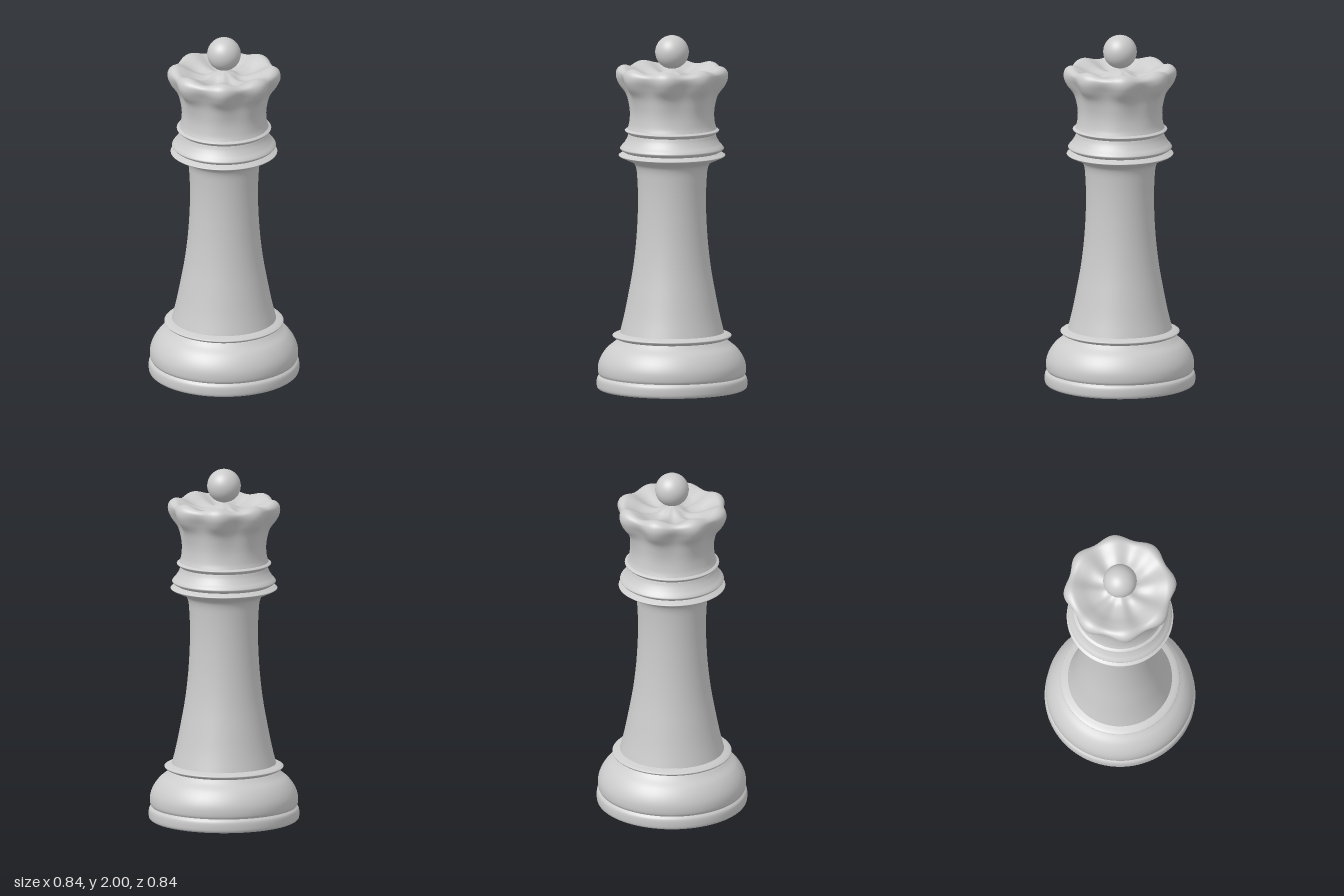
import * as THREE from 'three';
import { mergeVertices } from 'three/addons/utils/BufferGeometryUtils.js';

const SIDES = 96;
const material = new THREE.MeshStandardMaterial({ color: 0xcccccc, side: THREE.DoubleSide });

// Smooth curve through [radius, height] points
function smooth(points, count) {
  const curve = new THREE.CatmullRomCurve3(
    points.map(([r, y]) => new THREE.Vector3(r, y, 0)), false, 'centripetal');
  return curve.getPoints(count).map(p => new THREE.Vector2(Math.max(p.x, 0), p.y));
}

function turned(name, points, count = points.length * 5) {
  const mesh = new THREE.Mesh(new THREE.LatheGeometry(smooth(points, count), SIDES), material);
  mesh.name = name;
  return mesh;
}

// Eight-lobed crown: blends a profile through the lobes with one through the valleys
function crown() {
  const lobe = [[0.25, 1.472], [0.24, 1.505], [0.236, 1.56], [0.243, 1.615], [0.26, 1.67], [0.297, 1.72],
    [0.316, 1.768], [0.308, 1.808], [0.275, 1.829], [0.235, 1.82], [0.17, 1.79], [0.1, 1.777], [0.05, 1.796], [0, 1.812]];
  const valley = [[0.25, 1.472], [0.24, 1.505], [0.233, 1.56], [0.235, 1.615], [0.244, 1.67], [0.266, 1.725],
    [0.286, 1.768], [0.288, 1.795], [0.265, 1.809], [0.225, 1.795], [0.165, 1.77], [0.1, 1.767], [0.05, 1.794], [0, 1.812]];
  // Matching parameters keep the two profiles in step
  const sample = pts => {
    const c = new THREE.CatmullRomCurve3(pts.map(([r, y]) => new THREE.Vector3(r, y, 0)), false, 'catmullrom', 0.5);
    return Array.from({ length: 66 }, (_, i) => c.getPoint(i / 65));
  };
  const a = sample(lobe), b = sample(valley), n = a.length;
  let geo = new THREE.LatheGeometry(a.map(p => new THREE.Vector2(Math.max(p.x, 0), p.y)), SIDES);
  const pos = geo.attributes.position;
  for (let i = 0; i <= SIDES; i++) {
    const angle = (i % SIDES) / SIDES * Math.PI * 2;
    const w = (1 + Math.cos(angle * 8)) / 2;
    for (let j = 0; j < n; j++) {
      const r = Math.max(0, THREE.MathUtils.lerp(b[j].x, a[j].x, w));
      pos.setXYZ(i * n + j, r * Math.sin(angle), THREE.MathUtils.lerp(b[j].y, a[j].y, w), r * Math.cos(angle));
    }
  }
  geo.deleteAttribute('normal');
  geo.deleteAttribute('uv');
  geo = mergeVertices(geo, 1e-5);
  geo.computeVertexNormals();
  const mesh = new THREE.Mesh(geo, material);
  mesh.name = 'crown';
  return mesh;
}

export function createModel() {
  const group = new THREE.Group();
  group.name = 'chessQueen';

  // Foot
  group.add(
    turned('underside', [[0, 0], [0.25, 0.002], [0.405, 0.008]], 6),
    turned('footRim', [[0.405, 0.008], [0.417, 0.016], [0.421, 0.045], [0.417, 0.072], [0.405, 0.086]]),
    turned('footBulge', [[0.405, 0.086], [0.412, 0.1], [0.412, 0.145], [0.396, 0.19], [0.364, 0.235],
      [0.325, 0.268], [0.303, 0.29]]),
    turned('footRing', [[0.303, 0.29], [0.326, 0.301], [0.333, 0.31], [0.323, 0.317], [0.29, 0.328]]));

  // Column, flaring out under the collar
  group.add(turned('column', [[0.292, 0.322], [0.268, 0.42], [0.244, 0.54], [0.219, 0.68], [0.202, 0.82],
    [0.193, 0.95], [0.19, 1.06], [0.193, 1.18], [0.201, 1.255], [0.214, 1.281], [0.25, 1.3], [0.29, 1.318]], 60));

  // Stacked collar rings
  group.add(
    turned('lowerCollar', [[0.29, 1.318], [0.298, 1.325], [0.286, 1.333], [0.266, 1.344]]),
    turned('middleCollar', [[0.266, 1.344], [0.282, 1.354], [0.29, 1.364], [0.284, 1.375], [0.268, 1.394],
      [0.251, 1.423], [0.243, 1.446]]),
    turned('upperCollar', [[0.243, 1.446], [0.257, 1.457], [0.264, 1.466], [0.258, 1.471], [0.245, 1.478]]));

  // Crown and ball on top
  const ball = new THREE.Mesh(new THREE.SphereGeometry(0.094, 48, 32), material);
  ball.name = 'finialBall';
  ball.position.y = 1.906;
  group.add(crown(), ball);

  return group;
}
